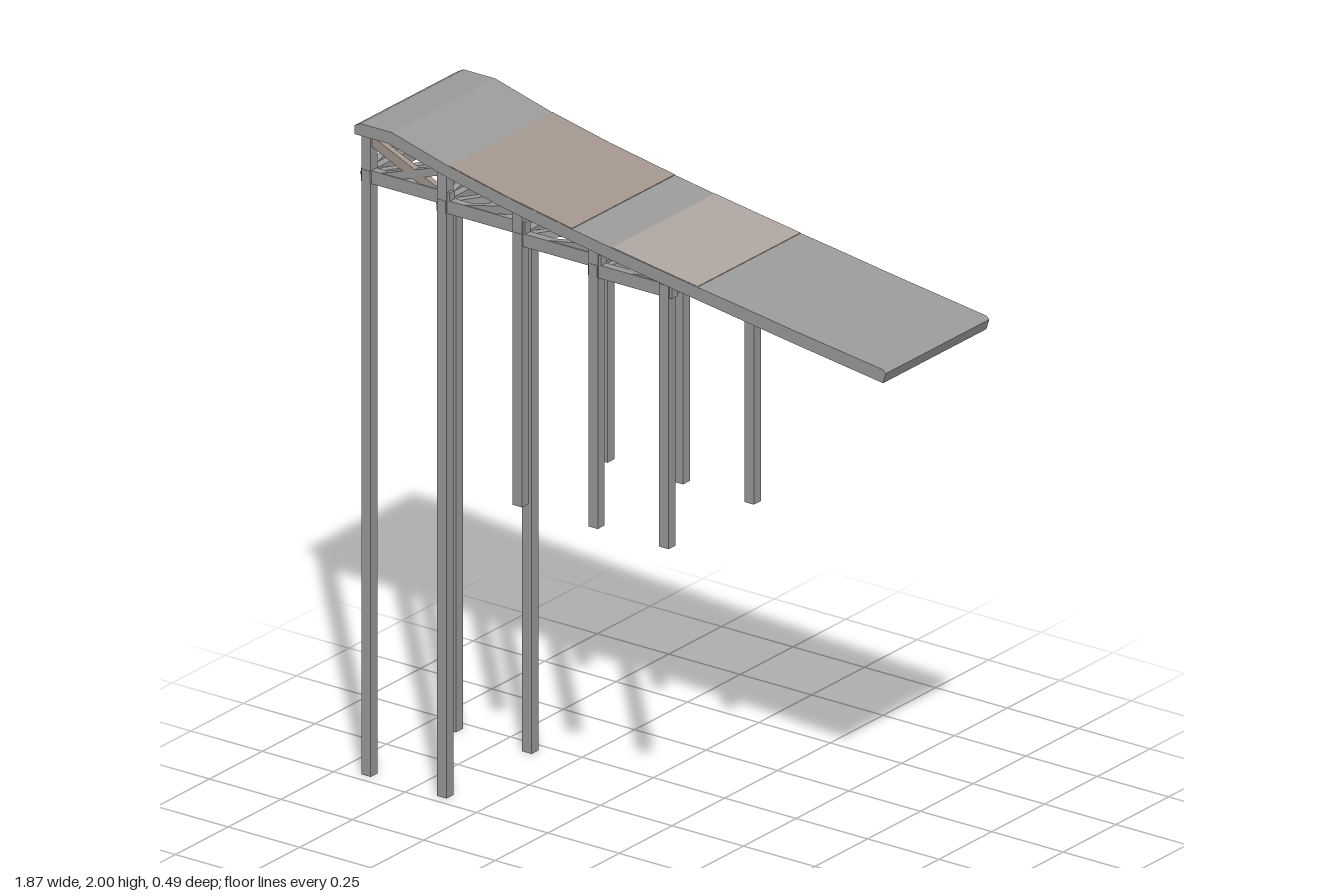
import * as THREE from 'three';

export function createModel() {
  const model = new THREE.Group();
  const paint = (color) => new THREE.MeshStandardMaterial({ color, flatShading: true });
  const grey = paint(0x9c9c9c), brown = paint(0xa4978f), paleBrown = paint(0xb0a7a1);
  const add = (name, geometry, material = grey) => {
    const mesh = new THREE.Mesh(geometry, material);
    mesh.name = name;
    model.add(mesh);
    return mesh;
  };

  // rectangular timber running between two points
  const beam = (name, a, b, height, width, material) => {
    const from = new THREE.Vector3(...a), to = new THREE.Vector3(...b);
    const mesh = add(name, new THREE.BoxGeometry(width, height, from.distanceTo(to)), material);
    mesh.position.copy(from).add(to).multiplyScalar(0.5);
    mesh.lookAt(to);
  };

  // side profile, listed clockwise, extruded across the width
  const slab = (name, points, width, material) => {
    const profile = new THREE.Shape(points.map(([x, y]) => new THREE.Vector2(x, y)));
    const geometry = new THREE.ExtrudeGeometry(profile, { depth: width, bevelEnabled: false });
    add(name, geometry.translate(0, 0, -width / 2), material);
  };

  // sloping deck
  const top = [[-0.93, 1.99], [-0.91, 2], [-0.8, 2], [-0.6, 1.946], [-0.4, 1.903], [-0.17, 1.862],
    [-0.03, 1.839], [0.12, 1.816], [0.27, 1.794], [0.4, 1.776], [0.6, 1.747], [0.92, 1.704], [0.93, 1.695]];
  const bottom = [[0.92, 1.663], [0.6, 1.707], [0.4, 1.736], [0.2, 1.765], [0, 1.796], [-0.2, 1.829],
    [-0.4, 1.865], [-0.6, 1.909], [-0.81, 1.963], [-0.93, 1.963]];
  slab('deck', [...top, ...bottom], 0.49, grey);

  // tinted sheets lying on the deck
  const sheet = (first, last, material) => {
    const line = top.slice(first, last + 1);
    const raised = line.map(([x, y]) => [x, y + 0.002]);
    slab('deckSheet', [...raised, ...line.reverse()], 0.488, material);
  };
  sheet(3, 5, brown);
  sheet(6, 8, paleBrown);

  // bents: x, foot height, post top, height of the lower rail
  const bents = [[-0.91, 0, 1.965, 1.83], [-0.645, 0, 1.925, 1.805], [-0.38, 0.955, 1.87, 1.77],
    [-0.115, 0.955, 1.82, 1.74], [0.133, 0.955, 1.78, 1.74]];
  const z = 0.202;
  bents.forEach(([x, foot, head, rail], i) => {
    for (const s of [-1, 1]) {
      const post = add('post', new THREE.BoxGeometry(0.033, head - foot, 0.033));
      post.position.set(x, (foot + head) / 2, s * z);
      // crossed braces on opposite faces of the tall pairs
      if (i < 2) {
        beam('endBrace', [x + s * 0.02, rail - 0.01, -s * z], [x + s * 0.02, head - 0.02, s * z], 0.026, 0.02);
      }
    }
    // crossbeams under the deck and at rail level
    beam('lowerCrossbeam', [x, rail, -0.22], [x, rail, 0.22], 0.038, 0.03);
    if (i < 3) beam('upperCrossbeam', [x, head - 0.02, -z], [x, head - 0.02, z], 0.03, 0.028);
  });

  for (let i = 0; i < bents.length - 1; i++) {
    const [x0, , head0, rail0] = bents[i], [x1, , head1] = bents[i + 1];
    for (const s of [-1, 1]) {
      // stepped side rails and rising diagonals
      beam('sideRail', [x0 - 0.02, rail0, s * z], [x1 + 0.025, rail0, s * z], 0.04, 0.026);
      beam('sideBrace', [x0, rail0 - 0.01, s * z], [x1, head1 - 0.015, s * z], 0.024, 0.02);
      if (i === 0) beam('sideBrace', [x0, head0 - 0.02, s * z], [x1, rail0, s * z], 0.03, 0.02, brown);
      // crossed braces in plan
      beam('floorBrace', [x0, rail0, -s * z], [x1, rail0, s * z], 0.022, 0.022);
    }
  }
  return model;
}
